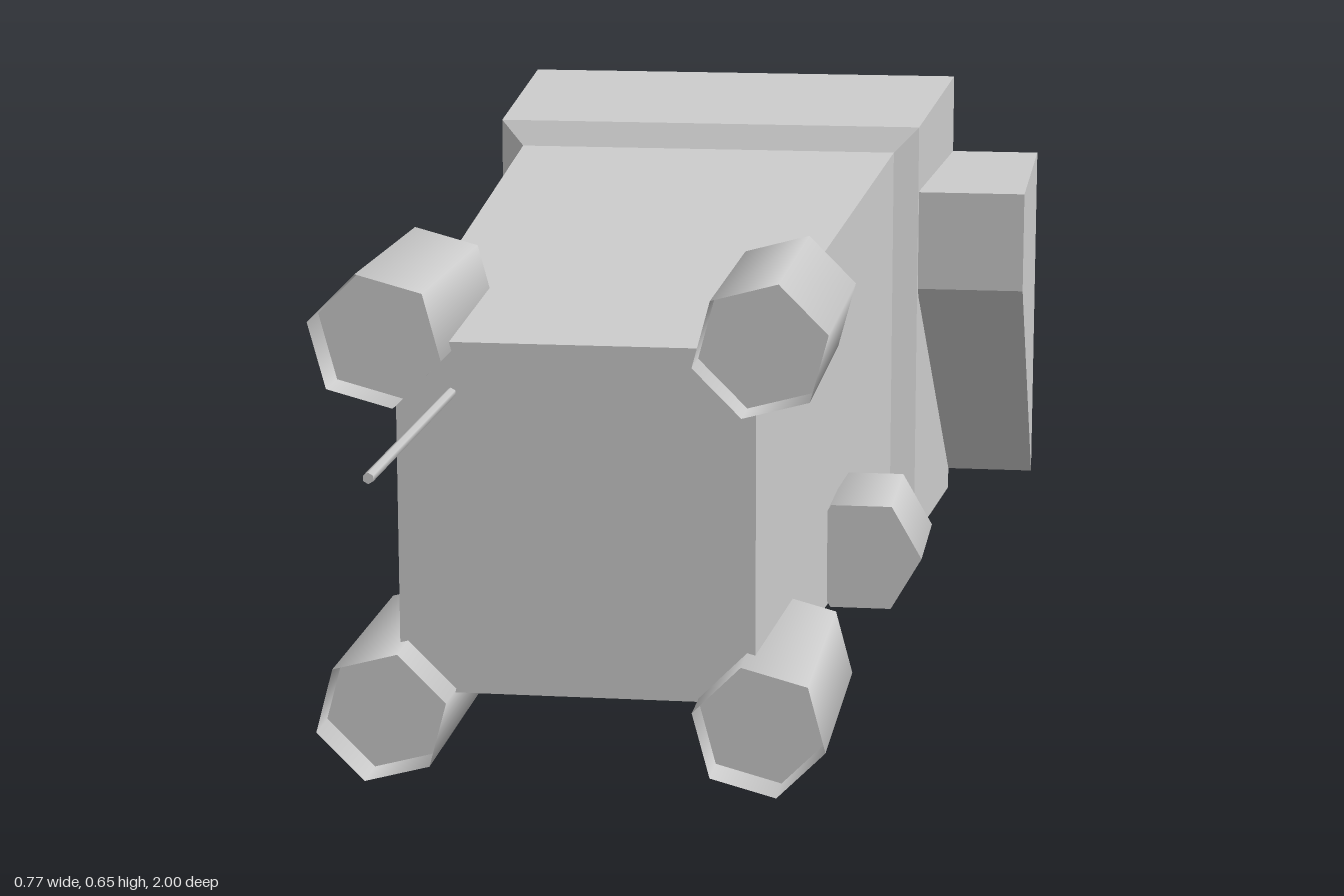
import * as THREE from 'three';

const flat = new THREE.MeshStandardMaterial({ color: 0xcccccc, flatShading: true, side: THREE.DoubleSide });
const smooth = new THREE.MeshStandardMaterial({ color: 0xcccccc, side: THREE.DoubleSide });

// Each polygon is a list of corners, counter-clockwise from outside, fanned into triangles
function polyMesh(name, polygons) {
  const pos = [];
  for (const p of polygons)
    for (let i = 1; i < p.length - 1; i++) pos.push(...p[0], ...p[i], ...p[i + 1]);
  const g = new THREE.BufferGeometry();
  g.setAttribute('position', new THREE.Float32BufferAttribute(pos, 3));
  g.computeVertexNormals();
  const m = new THREE.Mesh(g, flat);
  m.name = name;
  return m;
}

// Square section of the hull, corners counter-clockwise seen from the front
const CX = -0.067, CY = 0.322;
const section = (h, z) => [[-1, -1], [1, -1], [1, 1], [-1, 1]].map(([a, b]) => [CX + a * h, CY + b * h, z]);

function hullPart(name, profile, cap) {
  const rings = profile.map(([h, z]) => section(h, z));
  const faces = [];
  for (let r = 0; r < rings.length - 1; r++)
    for (let i = 0; i < 4; i++) {
      const j = (i + 1) % 4;
      faces.push([rings[r][i], rings[r][j], rings[r + 1][j], rings[r + 1][i]]);
    }
  if (cap) faces.push(rings[rings.length - 1]);
  return polyMesh(name, faces);
}

// Six-sided cylinder along z, from z0 (back) to z1 (front)
function tube(name, rBack, rFront, z0, z1, theta, open) {
  const g = new THREE.CylinderGeometry(rFront, rBack, z1 - z0, 6, 1, open, theta);
  g.rotateX(Math.PI / 2).translate(0, 0, (z0 + z1) / 2);
  const m = new THREE.Mesh(g, smooth);
  m.name = name;
  return m;
}

// Barrel with a pointed tail and a front disc, optionally recessed
function pod(name, x, y, r, tip, shoulder, front, disc, degrees) {
  const theta = THREE.MathUtils.degToRad(degrees);
  const group = new THREE.Group();
  group.name = name;
  group.add(tube('barrel', r, r, shoulder, front, theta, true));
  group.add(tube('tailCone', 0, r, tip, shoulder, theta, true));
  const cap = new THREE.Mesh(new THREE.CircleGeometry(r, 6, theta - Math.PI / 2), flat);
  cap.name = 'frontDisc';
  cap.position.z = disc;
  group.add(cap);
  group.position.set(x, y, 0);
  return group;
}

export function createModel() {
  const model = new THREE.Group();
  model.name = 'model';

  // Tapered hull, closed at the front, and the wider open rear bay with its bevelled lip
  model.add(hullPart('hull', [[0.267, -0.565], [0.207, 0.575]], true));
  model.add(hullPart('rearBay', [[0.323, -1], [0.301, -0.585], [0.267, -0.565]], false));

  // Open-backed side housing with a sloping underside
  const x0 = 0.235, x1 = 0.385;
  const side = [[0.53, -1], [0.03, -1], [0.39, -0.585], [0.53, -0.585]]; // y, z
  const at = (x, [y, z]) => [x, y, z];
  const faces = [[3, 2, 1, 0].map(i => at(x1, side[i]))];
  for (let i = 1; i < 4; i++) {
    const a = side[i], b = side[(i + 1) % 4];
    faces.push([at(x0, a), at(x1, a), at(x1, b), at(x0, b)]);
  }
  model.add(polyMesh('sideHousing', faces));

  // Four corner engines, mirrored left-right and top-bottom
  for (const sx of [-1, 1])
    for (const sy of [-1, 1])
      model.add(pod(`${sy > 0 ? 'upper' : 'lower'}${sx > 0 ? 'Left' : 'Right'}Engine`,
        CX + sx * 0.218, CY - 0.003 + sy * 0.22, 0.079, 0.17, 0.31, 0.635, 0.58, -15 * sx * sy));

  // Small pod on the lower left flank
  model.add(pod('flankPod', 0.212, 0.152, 0.078, -0.26, -0.15, 0.035, 0.035, 30));

  // Thin rod reaching forward beside the upper right engine
  const rod = tube('antenna', 0.006, 0.006, 0.31, 1, 0, false);
  rod.position.set(-0.21, 0.47, 0);
  model.add(rod);

  return model;
}
